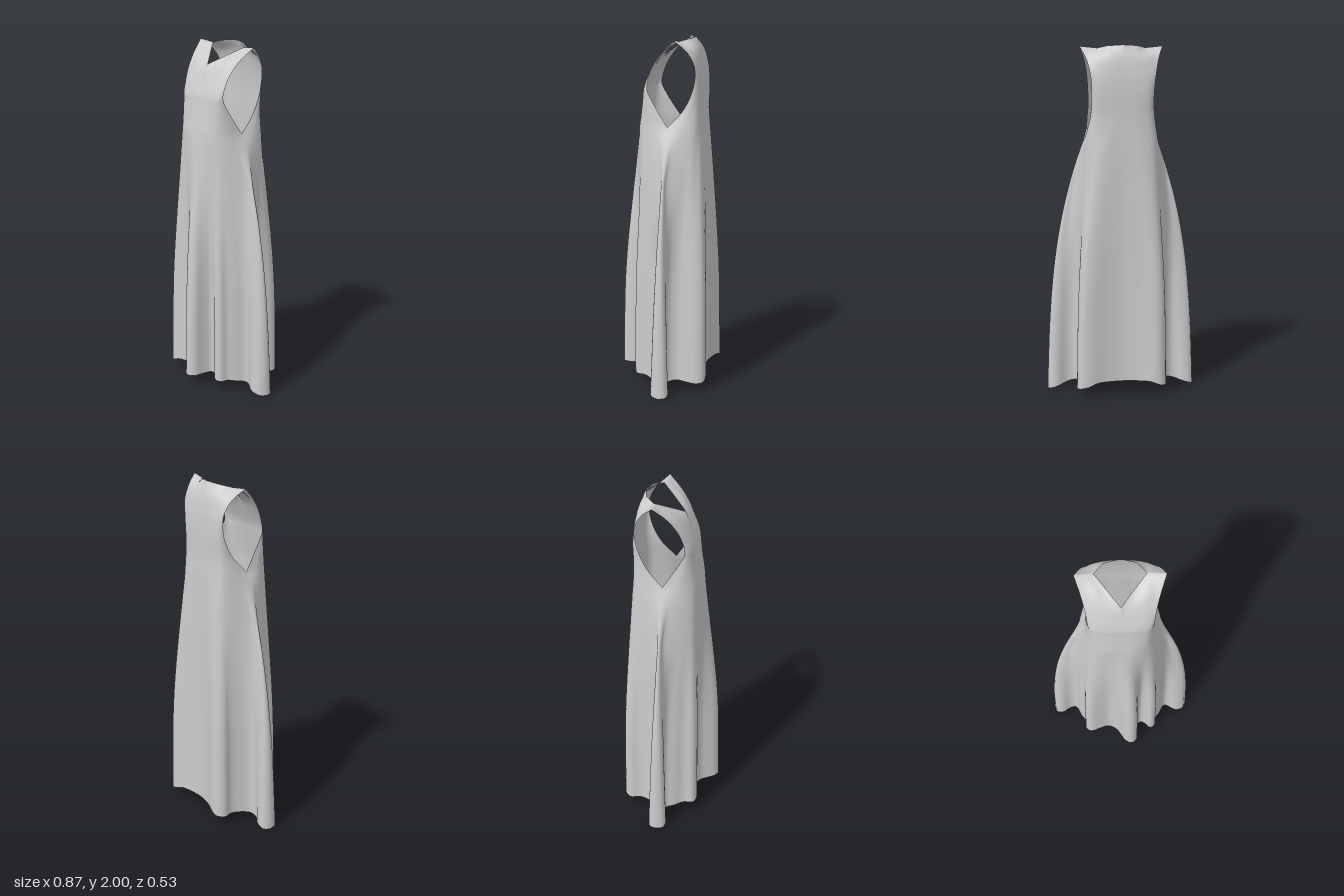
import * as THREE from 'three';
import { mergeVertices } from 'three/addons/utils/BufferGeometryUtils.js';

const HALF = 40, BODICE_STEPS = 30, SKIRT_STEPS = 56, SIDE_Z = -0.027;
const { lerp, clamp, smoothstep } = THREE.MathUtils;
const V = (p) => new THREE.Vector3(...p);
const spline = (pts) => new THREE.CatmullRomCurve3(pts);

// Bodice rows from waist to neckline, each from armhole edge to centre line
const frontRows = [
  [[0.19, 1.51, -0.03], [0.187, 1.51, 0.06], [0.15, 1.51, 0.125], [0.08, 1.51, 0.157], [0, 1.51, 0.162]],
  [[0.174, 1.67, 0.07], [0.165, 1.67, 0.1], [0.138, 1.67, 0.121], [0.073, 1.67, 0.133], [0, 1.67, 0.135]],
  [[0.173, 1.72, 0.09], [0.158, 1.72, 0.107], [0.125, 1.72, 0.12], [0.068, 1.72, 0.126], [0, 1.72, 0.126]],
  [[0.183, 1.83, 0.06], [0.155, 1.825, 0.07], [0.12, 1.82, 0.08], [0.06, 1.81, 0.09], [0, 1.8, 0.094]],
  [[0.205, 1.92, 0.0], [0.175, 1.915, 0.005], [0.13, 1.91, 0.02], [0.065, 1.875, 0.052], [0, 1.845, 0.077]],
  [[0.235, 1.99, -0.075], [0.185, 1.985, -0.08], [0.135, 1.98, -0.087], [0.068, 1.933, -0.014], [0, 1.885, 0.06]],
];
const backRows = [
  [[0.19, 1.51, -0.03], [0.198, 1.51, -0.12], [0.175, 1.51, -0.185], [0.1, 1.51, -0.213], [0, 1.51, -0.215]],
  [[0.178, 1.61, -0.12], [0.178, 1.61, -0.16], [0.155, 1.61, -0.193], [0.08, 1.61, -0.21], [0, 1.61, -0.212]],
  [[0.175, 1.74, -0.175], [0.165, 1.74, -0.19], [0.14, 1.74, -0.203], [0.07, 1.74, -0.21], [0, 1.74, -0.21]],
  [[0.185, 1.85, -0.18], [0.165, 1.85, -0.187], [0.13, 1.85, -0.194], [0.07, 1.85, -0.2], [0, 1.85, -0.2]],
  [[0.205, 1.93, -0.14], [0.18, 1.93, -0.148], [0.14, 1.935, -0.163], [0.07, 1.94, -0.177], [0, 1.94, -0.18]],
  [[0.235, 1.99, -0.075], [0.185, 1.985, -0.08], [0.135, 1.98, -0.087], [0.085, 1.994, -0.135], [0, 2.0, -0.155]],
];

// Hem folds as [x, z]: front from left tip to right tip, back the other way round
const frontHem = [
  [0.43, -0.03], [0.41, 0.01], [0.36, 0.025], [0.29, 0], [0.25, 0.06], [0.225, 0.1], [0.22, 0.14], [0.19, 0.16],
  [0.155, 0.135], [0.12, 0.125], [0.105, 0.17], [0.1, 0.24], [0.07, 0.265], [0.03, 0.25], [0, 0.21],
  [-0.03, 0.17], [-0.08, 0.147], [-0.13, 0.16], [-0.19, 0.175], [-0.225, 0.155], [-0.232, 0.1],
  [-0.26, 0.055], [-0.29, 0], [-0.33, 0], [-0.38, 0.025], [-0.42, 0.015], [-0.435, -0.03],
];
const backHem = [
  [-0.435, -0.03], [-0.42, -0.07], [-0.37, -0.075], [-0.32, -0.05], [-0.28, -0.06], [-0.25, -0.11],
  [-0.235, -0.17], [-0.245, -0.22], [-0.22, -0.258], [-0.18, -0.265], [-0.1, -0.24], [0, -0.225],
  [0.1, -0.235], [0.2, -0.26], [0.25, -0.255], [0.27, -0.22], [0.26, -0.15], [0.25, -0.1],
  [0.28, -0.05], [0.32, -0.05], [0.38, -0.08], [0.42, -0.07], [0.43, -0.03],
];

// Point on a straight-edged line through pts, t from 0 to 1
function polylinePoint(pts, t) {
  const k = Math.min(Math.floor(t * (pts.length - 1)), pts.length - 2);
  return pts[k].clone().lerp(pts[k + 1], t * (pts.length - 1) - k);
}

// Sample one half row, then mirror it across the centre line; the neckline keeps its corners
function fullRow(half, side, isNeckline) {
  const keys = half.map(V), curve = spline(keys);
  const pts = Array.from({ length: HALF + 1 }, (_, i) => (
    isNeckline ? polylinePoint(keys, i / HALF) : curve.getPoint(i / HALF)));
  const mirrored = pts.slice(0, -1).reverse().map((p) => new THREE.Vector3(-p.x, p.y, p.z));
  const row = [...pts, ...mirrored];
  row.forEach((p) => { p.x *= side; });
  return row;
}

// The hem dips towards the two side tips
function hemHeight(x) {
  const a = Math.abs(x);
  return 0.085 - 0.025 * smoothstep(a, 0.14, 0.23) - 0.06 * clamp((a - 0.23) / 0.2, 0, 1);
}

// Average of neighbours, with the end points kept
function softened(points, reach) {
  return points.map((_, j) => {
    const r = Math.min(reach, j, points.length - 1 - j), sum = new THREE.Vector3();
    for (let k = j - r; k <= j + r; k++) sum.add(points[k]);
    return sum.divideScalar(2 * r + 1);
  });
}

// One panel as rows of points from neckline down to hem
function panelRows(halfRows, hemPoints, side) {
  const keys = halfRows.map((r, i) => fullRow(r, side, i === halfRows.length - 1));
  const columns = keys[0].map((_, j) => spline(keys.map((row) => row[j])));
  const rows = [];
  for (let i = BODICE_STEPS; i >= 0; i--) rows.push(columns.map((c) => c.getPoint(i / BODICE_STEPS)));

  const waist = keys[0];
  const hem = spline(hemPoints.map(([x, z]) => V([x, 0, z]))).getSpacedPoints(2 * HALF);
  hem.forEach((p) => { p.y = hemHeight(p.x); });
  const softHem = softened(hem, 6);
  for (let i = 1; i <= SKIRT_STEPS; i++) {
    const s = i / SKIRT_STEPS;
    const flare = 0.8 * (1 - (1 - s) ** 3) + 0.2 * s;
    const pinch = 0.9 * Math.min(s / 0.2, 1) * (1 - s);
    rows.push(waist.map((w, j) => {
      // Folds deepen downwards, and the side folds open from a narrow ridge
      const target = softHem[j].clone().lerp(hem[j], smoothstep(s, 0, 0.7));
      const narrow = 1 - pinch * smoothstep(Math.abs(hem[j].x), 0.25, 0.37);
      const z = lerp(w.z, target.z, flare);
      return new THREE.Vector3(
        lerp(w.x, target.x, flare), lerp(w.y, target.y, s), SIDE_Z + (z - SIDE_Z) * narrow);
    }));
  }
  return rows;
}

export function createModel() {
  const positions = [], index = [];
  const addPanel = (rows) => {
    const start = positions.length / 3, w = rows[0].length;
    rows.forEach((row) => row.forEach((p) => positions.push(p.x, p.y, p.z)));
    for (let i = 0; i < rows.length - 1; i++) {
      for (let j = 0; j < w - 1; j++) {
        const a = start + i * w + j;
        index.push(a, a + 1, a + w, a + 1, a + w + 1, a + w);
      }
    }
  };
  addPanel(panelRows(frontRows, frontHem, 1));
  addPanel(panelRows(backRows, backHem, -1));

  // Sew the panels together along shoulders and side seams
  let geometry = new THREE.BufferGeometry();
  geometry.setAttribute('position', new THREE.Float32BufferAttribute(positions, 3));
  geometry.setIndex(index);
  geometry = mergeVertices(geometry, 1e-4);
  geometry.computeVertexNormals();

  const dress = new THREE.Mesh(
    geometry,
    new THREE.MeshStandardMaterial({ color: 0xcccccc, side: THREE.DoubleSide }),
  );
  dress.name = 'dress';

  const group = new THREE.Group();
  group.name = 'sleevelessDress';
  group.add(dress);
  return group;
}
